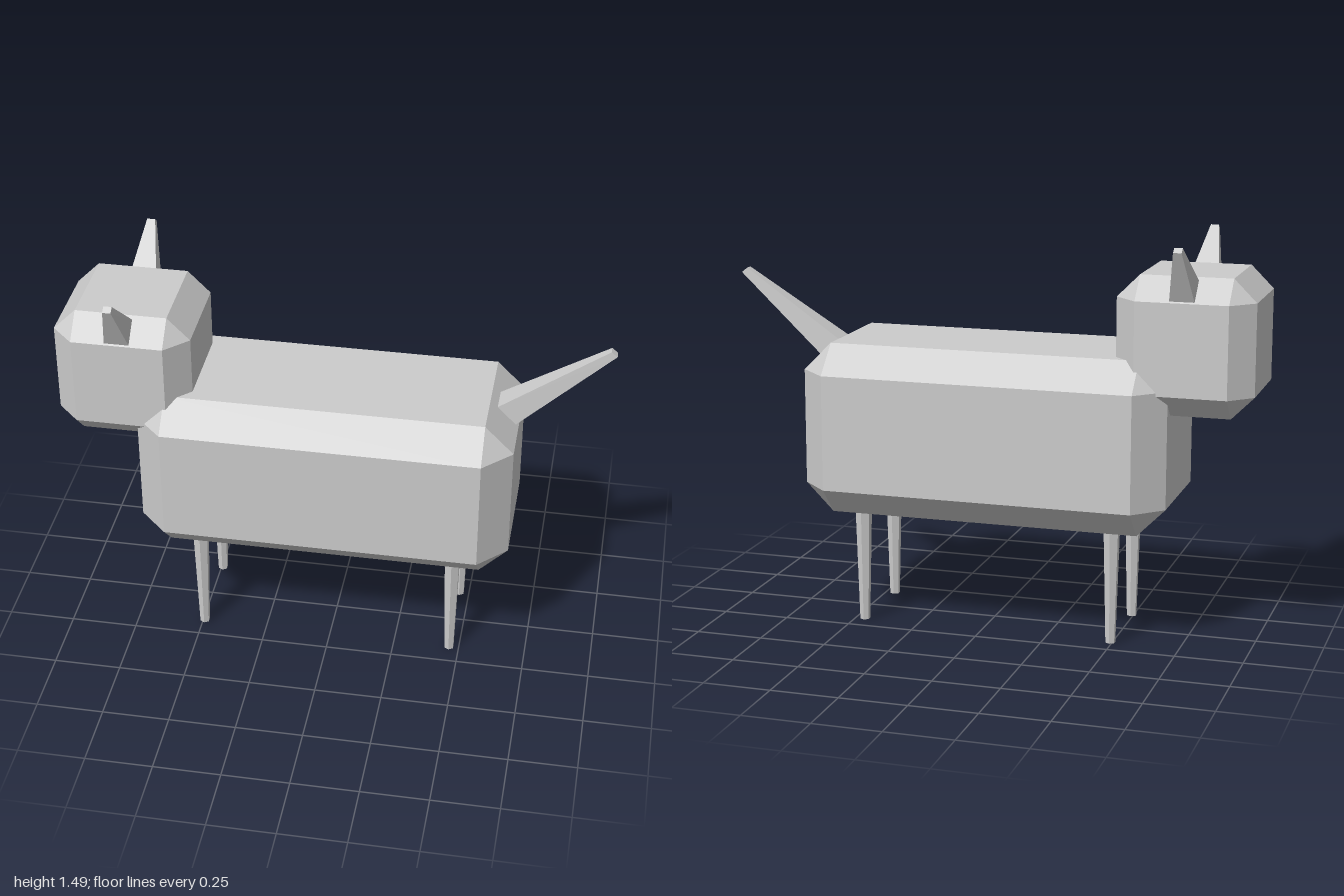
import * as THREE from 'three';
import { ConvexGeometry } from 'three/addons/geometries/ConvexGeometry.js';

const material = new THREE.MeshStandardMaterial({ color: 0xcccccc, flatShading: true });

function addPart(parent, name, geometry, x = 0, y = 0, z = 0) {
  const mesh = new THREE.Mesh(geometry, material);
  mesh.name = name;
  mesh.position.set(x, y, z);
  parent.add(mesh);
  return mesh;
}

// Box with all twelve edges cut at 45 degrees; half sizes hx, hy, hz and cut c
function chamferedBox(hx, hy, hz, c) {
  const points = [];
  for (const sx of [-1, 1]) for (const sy of [-1, 1]) for (const sz of [-1, 1]) {
    points.push(
      new THREE.Vector3(sx * hx, sy * (hy - c), sz * (hz - c)),
      new THREE.Vector3(sx * (hx - c), sy * hy, sz * (hz - c)),
      new THREE.Vector3(sx * (hx - c), sy * (hy - c), sz * hz));
  }
  return new ConvexGeometry(points);
}

// Four-sided spike: an outline of four [u, y, halfWidth] points, widened to both sides along w
function spike(outline, toPoint) {
  const points = [];
  for (const [u, y, half] of outline) {
    for (const w of [-half, half]) points.push(toPoint(u, y, w));
  }
  return new ConvexGeometry(points);
}

export function createModel() {
  const model = new THREE.Group();
  model.name = 'animal';

  // Body and head
  addPart(model, 'body', chamferedBox(0.685, 0.32, 0.32, 0.105), -0.015, 0.745, 0);
  addPart(model, 'head', chamferedBox(0.25, 0.25, 0.25, 0.083), -0.75, 1.115, 0);

  // Ears rise outward from the sloped upper edges of the head
  const earOutline = [[0.245, 1.287, 0.045], [0.178, 1.354, 0.045], [0.315, 1.485, 0.015], [0.335, 1.47, 0.015]];
  for (const side of [-1, 1]) {
    addPart(model, 'ear', spike(earOutline, (u, y, w) => new THREE.Vector3(-0.75 + w, y, side * u)));
  }

  // Tail rises from the sloped rear edge of the body
  const tailOutline = [[0.66, 0.975, 0.05], [0.592, 1.043, 0.05], [0.978, 1.295, 0.015], [1, 1.277, 0.015]];
  addPart(model, 'tail', spike(tailOutline, (u, y, w) => new THREE.Vector3(u, y, w)));

  // Slim tapering legs
  const legGeometry = new THREE.CylinderGeometry(0.031, 0.019, 0.43, 6);
  for (const [name, x] of [['frontLeg', -0.493], ['hindLeg', 0.463]]) {
    for (const side of [-1, 1]) addPart(model, name, legGeometry, x, 0.215, side * 0.167);
  }

  return model;
}
